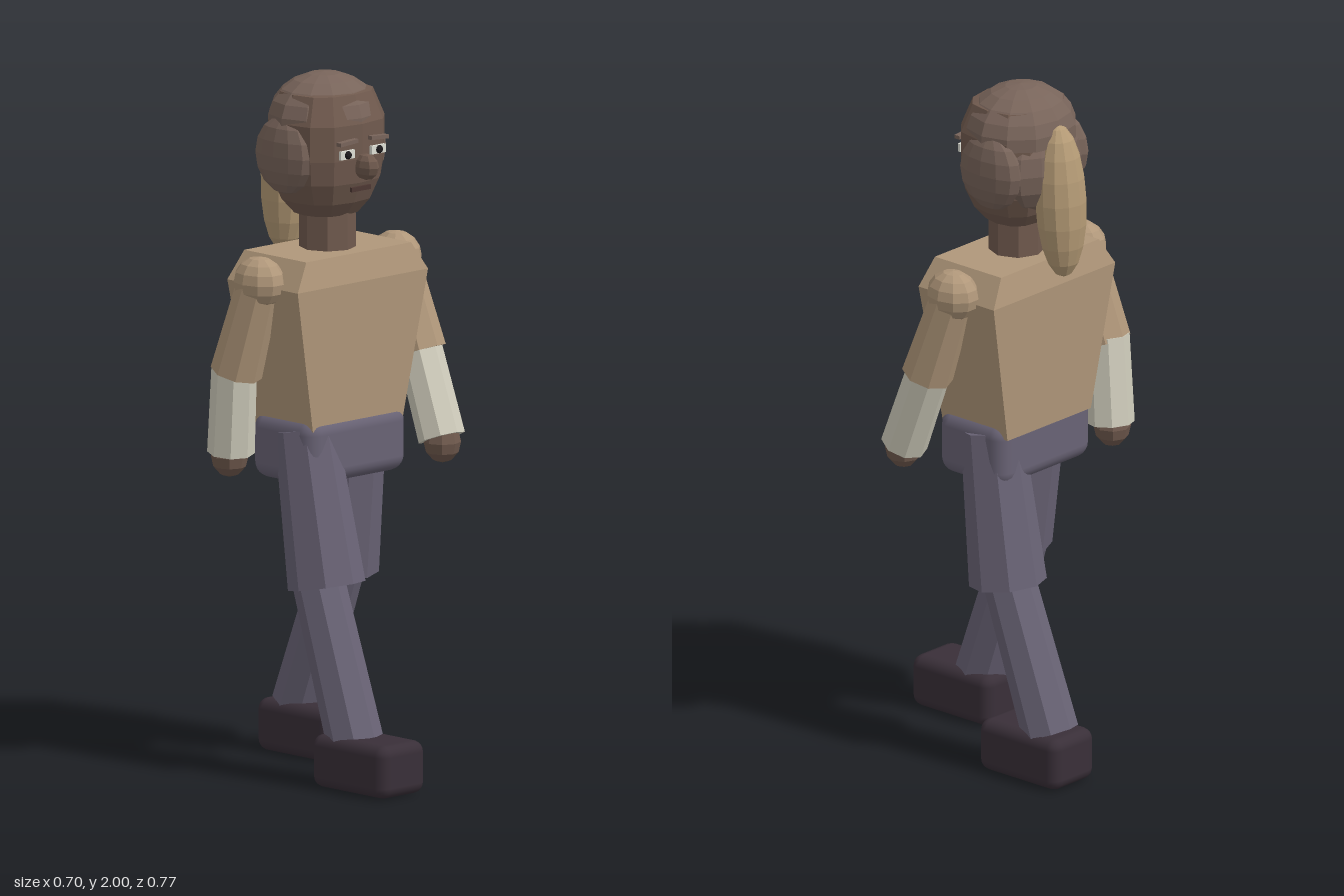
import * as THREE from 'three';
import { RoundedBoxGeometry } from 'three/addons/geometries/RoundedBoxGeometry.js';

const mat = (name, color) => {
  const m = new THREE.MeshStandardMaterial({ color });
  m.name = name;
  return m;
};

// Faceted normals for the low-poly parts
function facet(geo) {
  const g = geo.index ? geo.toNonIndexed() : geo;
  g.computeVertexNormals();
  return g;
}

export function createModel() {
  const model = new THREE.Group();
  model.name = 'walkingFigure';
  const skin = mat('skin', 0x705a4e);
  const hair = mat('hair', 0x78645a);
  const tan = mat('tanShirt', 0xb0977a);
  const blond = mat('ponytailTan', 0xb59b76);
  const sleeve = mat('paleSleeve', 0xcfccbb);
  const cloth = mat('trousers', 0x696375);
  const shoe = mat('shoe', 0x392f38);
  const white = mat('eyeWhite', 0xdedfd5);
  const dark = mat('dark', 0x1d1a1c);
  const lip = mat('lip', 0x4c3732);

  const add = (name, geo, material, pos = [0, 0, 0], parent = model) => {
    const m = new THREE.Mesh(geo, material);
    m.name = name;
    m.position.set(...pos);
    parent.add(m);
    return m;
  };
  const ball = (name, material, pos, r, w = 12, h = 8, parent = model) =>
    add(name, facet(new THREE.SphereGeometry(1, w, h).scale(...r)), material, pos, parent);

  // Tapered eight-sided limb from a to b
  const limb = (name, material, a, b, ra, rb, parent) => {
    const A = new THREE.Vector3(...a), B = new THREE.Vector3(...b);
    const d = A.clone().sub(B);
    const m = add(name, facet(new THREE.CylinderGeometry(ra, rb, d.length(), 8)), material,
      A.clone().add(B).multiplyScalar(0.5).toArray(), parent);
    m.quaternion.setFromUnitVectors(new THREE.Vector3(0, 1, 0), d.normalize());
    return m;
  };

  // Torso: box whose three rows are resized to chest, shoulder and waist
  const torsoGeo = new THREE.BoxGeometry(2, 2, 2, 1, 2, 1);
  const rows = [[0.175, 1.0, 0.122], [0.255, 1.42, 0.142], [0.205, 1.5, 0.125]];
  const tp = torsoGeo.attributes.position;
  for (let i = 0; i < tp.count; i++) {
    const [x, y, z] = rows[Math.round(tp.getY(i)) + 1];
    tp.setXYZ(i, tp.getX(i) * x, y, tp.getZ(i) * z - 0.055);
  }
  add('torso', facet(torsoGeo), tan);
  add('pelvis', new RoundedBoxGeometry(0.39, 0.19, 0.25, 3, 0.045), cloth, [0, 0.945, -0.048]);
  limb('neck', skin, [0, 1.66, -0.055], [0, 1.48, -0.055], 0.08, 0.08, model);

  // Head: lathe squared off slightly so the face is broad and flat
  const head = new THREE.Group();
  head.name = 'head';
  model.add(head);
  const profile = [[0, 1.6], [0.09, 1.6], [0.125, 1.64], [0.152, 1.7], [0.163, 1.77],
    [0.163, 1.87], [0.13, 1.95], [0, 1.975]].map(p => new THREE.Vector2(...p));
  const skull = new THREE.LatheGeometry(profile, 12);
  const sp = skull.attributes.position;
  for (let i = 0; i < sp.count; i++) {
    const x = sp.getX(i), z = sp.getZ(i), r = Math.hypot(x, z) || 1;
    const bend = v => Math.sign(v) * r * Math.pow(Math.abs(v / r), 0.78);
    sp.setXYZ(i, bend(x), sp.getY(i), bend(z) * 0.89 - 0.06);
  }
  add('face', facet(skull), skin, [0, 0, 0], head);

  // Hair
  const cap = new THREE.SphereGeometry(1, 12, 6, 0, Math.PI * 2, 0, Math.PI * 0.54);
  add('hairCap', facet(cap.scale(0.168, 0.135, 0.155)), hair, [0, 1.865, -0.07], head);
  ball('backHair', hair, [0, 1.775, -0.135], [0.15, 0.14, 0.095], 12, 8, head);
  ball('ponytail', blond, [0, 1.685, -0.221], [0.075, 0.226, 0.074], 12, 10, head)
    .rotation.x = 0.05;

  // Face details
  ball('nose', skin, [0, 1.75, 0.1], [0.027, 0.038, 0.047], 8, 6, head);
  add('mouth', new THREE.BoxGeometry(0.075, 0.013, 0.008), lip, [0, 1.685, 0.078], head);
  for (const s of [1, -1]) {
    ball('sideHair', hair, [s * 0.14, 1.777, -0.083], [0.047, 0.112, 0.11], 12, 8, head);
    add('eyeWhite', new THREE.BoxGeometry(0.055, 0.024, 0.009), white, [s * 0.06, 1.79, 0.085], head);
    ball('pupil', dark, [s * 0.061, 1.79, 0.09], [0.012, 0.012, 0.01], 8, 6, head);
    add('eyebrow', new THREE.BoxGeometry(0.068, 0.011, 0.018), hair, [s * 0.06, 1.825, 0.087], head)
      .rotation.z = -s * 0.06;
  }

  // Arms: left swings forward, right swings back
  const arms = [
    { side: 'left', s: 1, elbow: [0.275, 1.175, 0.035], wrist: [0.267, 0.94, 0.13], hand: [0.264, 0.93, 0.135] },
    { side: 'right', s: -1, elbow: [-0.28, 1.165, -0.135], wrist: [-0.267, 0.93, -0.17], hand: [-0.27, 0.92, -0.172] },
  ];
  for (const { side, s, elbow, wrist, hand } of arms) {
    const g = new THREE.Group();
    g.name = side + 'Arm';
    model.add(g);
    const shoulder = [s * 0.268, 1.435, -0.055];
    ball('shoulder', tan, shoulder, [0.066, 0.073, 0.082], 10, 8, g);
    limb('upperArm', tan, shoulder, elbow, 0.062, 0.074, g);
    limb('forearm', sleeve, [elbow[0], elbow[1] + 0.02, elbow[2] - 0.008], wrist, 0.064, 0.067, g);
    ball('hand', skin, hand, [0.053, 0.06, 0.053], 8, 6, g);
  }

  // Legs: right steps forward, left trails behind
  const legs = [
    { side: 'left', x: 0.123, hip: [1.0, -0.07], knee: [0.55, -0.132], top: [0.58, -0.128], ankle: [0.14, -0.292], foot: -0.24 },
    { side: 'right', x: -0.125, hip: [1.0, -0.015], knee: [0.562, 0.07], top: [0.59, 0.03], ankle: [0.13, 0.185], foot: 0.238 },
  ];
  for (const { side, x, hip, knee, top, ankle, foot } of legs) {
    const g = new THREE.Group();
    g.name = side + 'Leg';
    model.add(g);
    limb('thigh', cloth, [x, ...hip], [x, ...knee], 0.088, 0.11, g);
    limb('shin', cloth, [x, ...top], [x, ...ankle], 0.074, 0.081, g);
    add('shoe', new RoundedBoxGeometry(0.176, 0.152, 0.296, 2, 0.032), shoe, [x, 0.078, foot], g);
  }
  return model;
}
